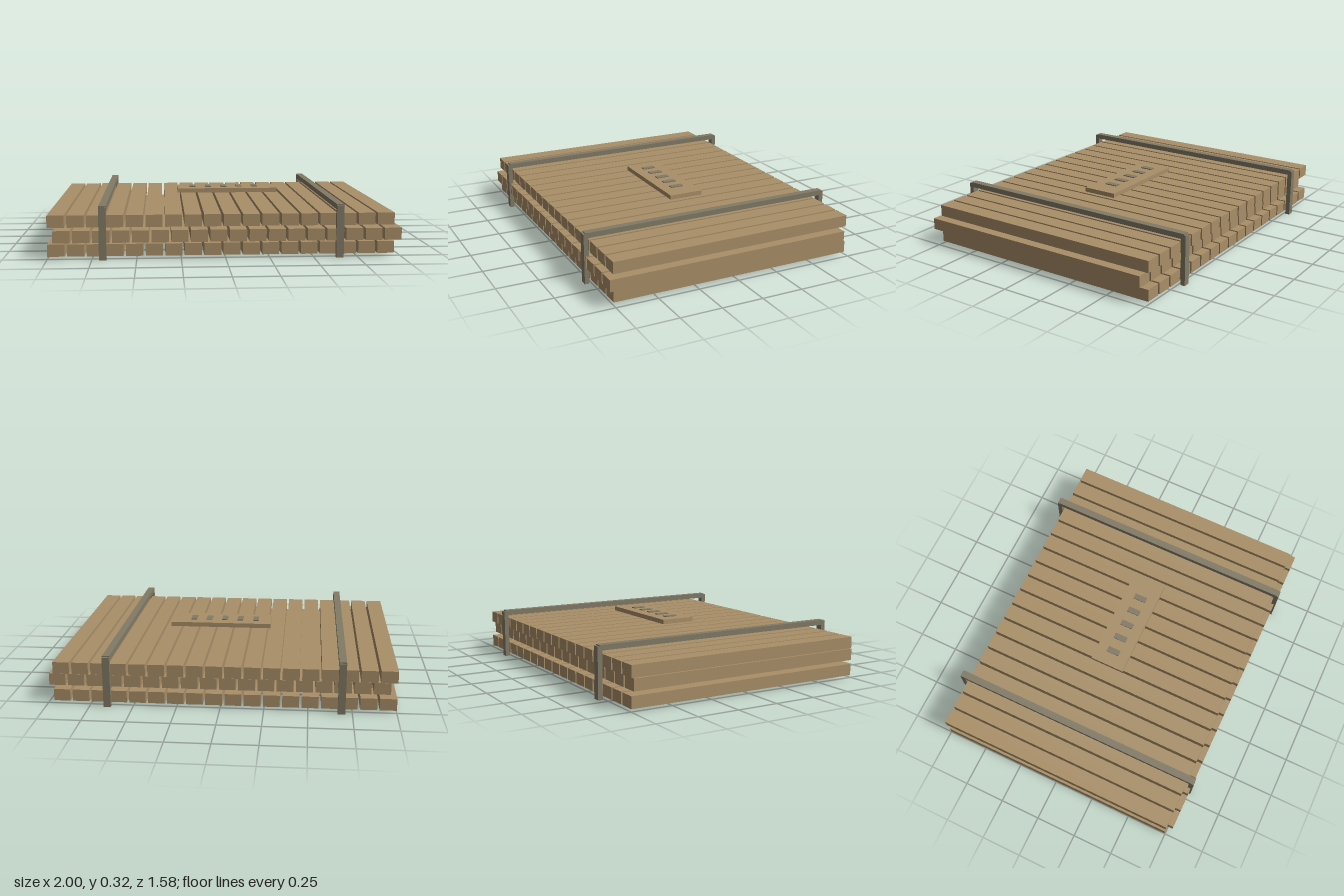
import * as THREE from 'three';

const wood = new THREE.MeshStandardMaterial({ color: 0xa98f68 });
wood.name = 'wood';
const metal = new THREE.MeshStandardMaterial({ color: 0x827a66 });
metal.name = 'strap metal';

// Box given by its size and centre
function box(name, material, [w, h, d], [x, y, z]) {
  const mesh = new THREE.Mesh(new THREE.BoxGeometry(w, h, d), material);
  mesh.name = name;
  mesh.position.set(x, y, z);
  return mesh;
}

export function createModel() {
  const model = new THREE.Group();
  model.name = 'plankStack';

  // Three layers of planks, the middle one shifted sideways and forward
  const count = 18, pitch = 0.11, width = 0.096;
  for (let layer = 0; layer < 3; layer++) {
    const shift = layer === 1 ? 0.034 : 0;
    const group = new THREE.Group();
    group.name = 'plankLayer';
    for (let i = 0; i < count; i++) {
      const x = -1 + width / 2 + i * pitch + shift;
      group.add(box('plank', wood, [width, 0.069, 1.494], [x, 0.049 + layer * 0.082, shift]));
    }
    model.add(group);
  }

  // Two straps: a bar across the top with a leg at each end
  for (const x of [-0.689, 0.647]) {
    const strap = new THREE.Group();
    strap.name = 'strap';
    strap.position.x = x;
    strap.add(box('strapBar', metal, [0.042, 0.031, 1.556], [0, 0.288, 0]));
    for (const side of [-1, 1]) {
      strap.add(box('strapLeg', metal, [0.042, 0.297, 0.028], [0, 0.1485, side * 0.776]));
    }
    model.add(strap);
  }

  // Label board with five raised marks
  model.add(box('labelBoard', wood, [0.626, 0.027, 0.212], [0.056, 0.3, 0]));
  for (let i = 0; i < 5; i++) {
    model.add(box('labelMark', metal, [0.035, 0.008, 0.08], [-0.16 + i * 0.0985, 0.315, 0]));
  }
  return model;
}
